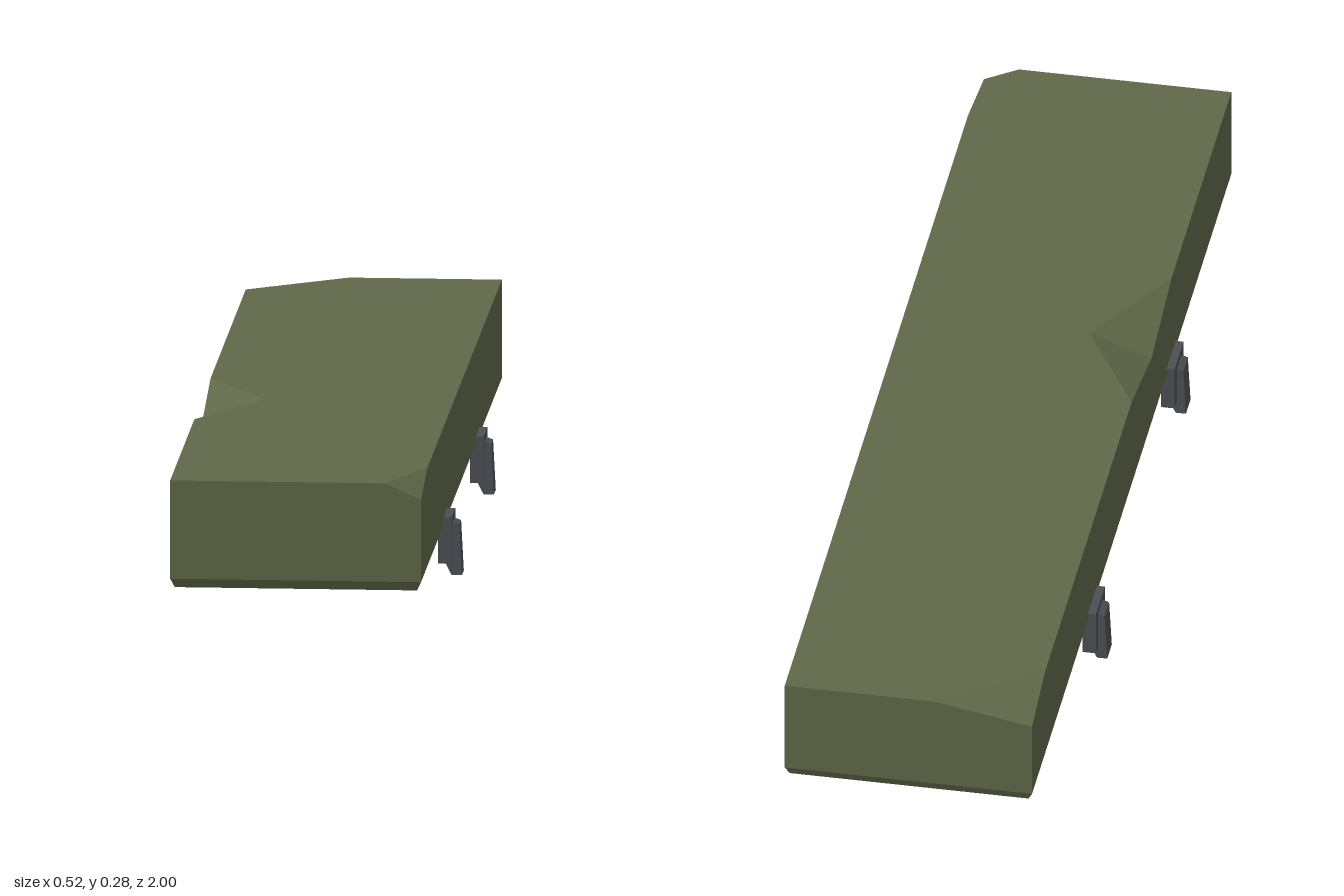
import * as THREE from 'three';

const TOP = 0.28;

// Hollow lid with chipped corners and a dent in one long edge
function lidGeometry() {
  const pos = [];
  const tri = (a, b, c) => pos.push(...a, ...b, ...c);
  const quad = (a, b, c, d) => { tri(a, b, c); tri(a, c, d); };

  // Top edge, counter-clockwise from above; damaged points sit lower
  const edge = [
    [-0.23, TOP, 1], [0.165, TOP, 1], [0.23, 0.25, 1], [0.23, TOP, 0.84],
    [0.23, TOP, -1], [-0.05, TOP, -1], [-0.23, 0.247, -1], [-0.23, TOP, -0.87],
    [-0.23, TOP, 0], [-0.23, 0.24, 0.2], [-0.23, TOP, 0.4],
  ];
  const ring = (hx, y, hz) => edge.map(([x, , z]) => [x / 0.23 * hx, y, z * hz]);

  // Outer wall, bevel, rim, inner wall
  const rings = [edge, ring(0.23, 0.097, 1), ring(0.222, 0.08, 0.992),
    ring(0.19, 0.08, 0.96), ring(0.19, 0.245, 0.96)];
  for (let r = 0; r < rings.length - 1; r++) {
    for (let i = 0; i < edge.length; i++) {
      const j = (i + 1) % edge.length;
      quad(rings[r + 1][i], rings[r + 1][j], rings[r][j], rings[r][i]);
    }
  }

  // Underside of the top
  quad([-0.19, 0.245, -0.96], [0.19, 0.245, -0.96], [0.19, 0.245, 0.96], [-0.19, 0.245, 0.96]);

  // Flat top around the damage
  const apex = [-0.115, TOP, 0.2];
  const flat = [0, 1, 3, 4, 5, 7, 8].map(i => edge[i]).concat([apex, edge[10]]);
  const outline = flat.map(p => new THREE.Vector2(p[0], -p[2]));
  for (const [a, b, c] of THREE.ShapeUtils.triangulateShape(outline, [])) tri(flat[a], flat[b], flat[c]);

  // Chipped corners and dent
  tri(edge[1], edge[2], edge[3]);
  tri(edge[5], edge[6], edge[7]);
  tri(edge[8], edge[9], apex);
  tri(edge[9], edge[10], apex);

  const geo = new THREE.BufferGeometry();
  geo.setAttribute('position', new THREE.Float32BufferAttribute(pos, 3));
  geo.computeVertexNormals();
  return geo;
}

export function createModel() {
  const model = new THREE.Group();
  model.name = 'crateLid';
  const green = new THREE.MeshStandardMaterial({ color: 0x5f6849 });
  green.name = 'olive green';
  const grey = new THREE.MeshStandardMaterial({ color: 0x4c4f54 });
  grey.name = 'dark metal';

  const lid = new THREE.Mesh(lidGeometry(), green);
  lid.name = 'lid';
  model.add(lid);

  // Latch: plate on the lid edge with a sloping lever
  const plateGeo = new THREE.BoxGeometry(0.025, 0.087, 0.09).translate(0.2325, 0.0685, 0);
  const profile = [[0.23, 0.098], [0.245, 0.098], [0.257, 0.094], [0.262, 0], [0.243, 0], [0.23, 0.025]];
  const leverGeo = new THREE.ExtrudeGeometry(
    new THREE.Shape(profile.map(p => new THREE.Vector2(...p))),
    { depth: 0.046, bevelEnabled: false }).translate(0, 0, -0.023);

  for (const side of [1, -1]) {
    for (const z of [0.395, -0.395]) {
      const latch = new THREE.Group();
      latch.name = 'latch';
      const plate = new THREE.Mesh(plateGeo, grey);
      plate.name = 'latchPlate';
      const lever = new THREE.Mesh(leverGeo, grey);
      lever.name = 'latchLever';
      latch.add(plate, lever);
      latch.position.z = z;
      latch.rotation.y = side > 0 ? 0 : Math.PI;
      model.add(latch);
    }
  }
  return model;
}
